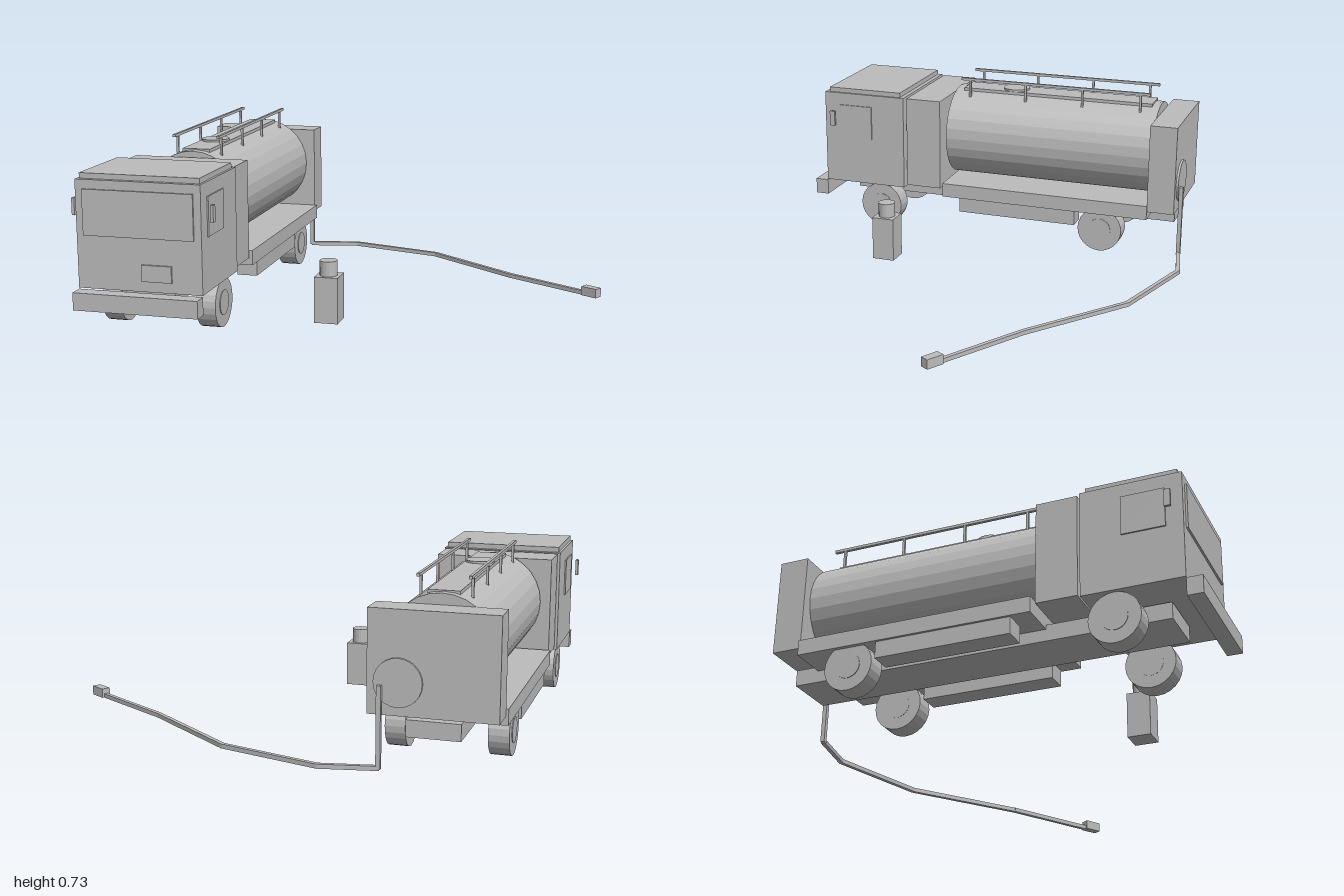
import * as THREE from 'three';

const grey = new THREE.MeshStandardMaterial({ color: 0xbcbcbc });
grey.name = 'plain grey';

export function createModel() {
  const model = new THREE.Group();
  model.name = 'tankerWithHose';
  const truck = new THREE.Group(); // built around its own centre line
  truck.name = 'truck';
  truck.position.x = -0.7;
  model.add(truck);

  const add = (parent, name, geometry) => {
    const mesh = new THREE.Mesh(geometry, grey);
    mesh.name = name;
    parent.add(mesh);
    return mesh;
  };
  // Box given by its limits on each axis
  const box = (parent, name, x0, x1, y0, y1, z0, z1) => {
    const mesh = add(parent, name, new THREE.BoxGeometry(x1 - x0, y1 - y0, z1 - z0));
    mesh.position.set((x0 + x1) / 2, (y0 + y1) / 2, (z0 + z1) / 2);
    return mesh;
  };
  // Faceted cylinder lying along the given axis
  const cylinder = (parent, name, r, length, axis, x, y, z, sides = 24) => {
    const g = new THREE.CylinderGeometry(r, r, length, sides).toNonIndexed();
    g.computeVertexNormals();
    if (axis === 'x') g.rotateZ(Math.PI / 2);
    if (axis === 'z') g.rotateX(Math.PI / 2);
    const mesh = add(parent, name, g);
    mesh.position.set(x, y, z);
    return mesh;
  };

  // Chassis and cab
  box(truck, 'chassis', -0.105, 0.105, 0.133, 0.2, -0.82, 0.755);
  box(truck, 'cab', -0.26, 0.26, 0.205, 0.642, 0.455, 0.855);
  box(truck, 'cabRoof', -0.25, 0.25, 0.642, 0.664, 0.475, 0.835);
  box(truck, 'frontBumper', -0.26, 0.26, 0.128, 0.2, 0.855, 0.917);
  box(truck, 'windshield', -0.23, 0.23, 0.42, 0.605, 0.855, 0.863);
  box(truck, 'frontPanel', 0.01, 0.135, 0.248, 0.315, 0.855, 0.864);

  // Bodywork behind the cab
  box(truck, 'equipmentLocker', -0.25, 0.25, 0.217, 0.64, 0.275, 0.442);
  box(truck, 'tankBed', -0.26, 0.26, 0.182, 0.246, -0.722, 0.26);
  cylinder(truck, 'tank', 0.21, 0.98, 'z', 0, 0.455, -0.23, 28);
  box(truck, 'rearCabinet', -0.25, 0.25, 0.217, 0.62, -0.843, -0.72);
  cylinder(truck, 'hoseReel', 0.094, 0.01, 'z', 0.13, 0.345, -0.848);

  // Walkway and hatch on top of the tank
  box(truck, 'walkway', -0.062, 0.062, 0.655, 0.669, -0.685, 0.22);
  cylinder(truck, 'hatch', 0.061, 0.022, 'y', 0, 0.667, -0.022);

  // Mirrored side parts
  for (const s of [-1, 1]) {
    const side = s > 0 ? 'left' : 'right';
    const part = (name, x, w, y0, y1, z0, z1) =>
      box(truck, side + name, s * x - w / 2, s * x + w / 2, y0, y1, z0, z1);
    part('Window', 0.262, 0.008, 0.425, 0.585, 0.617, 0.788);
    part('Mirror', 0.29, 0.012, 0.488, 0.558, 0.793, 0.818);
    part('SideLocker', 0.205, 0.09, 0.113, 0.182, -0.384, 0.177);
    part('HandRail', 0.099, 0.012, 0.715, 0.727, -0.685, 0.22);
    for (let i = 0; i < 4; i++) {
      const z = 0.177 - i * 0.272;
      part('RailPost' + (i + 1), 0.099, 0.01, 0.63, 0.716, z - 0.005, z + 0.005);
    }
    for (const [place, z] of [['Front', 0.58], ['Rear', -0.502]]) {
      cylinder(truck, side + place + 'Wheel', 0.102, 0.082, 'x', s * 0.203, 0.104, z);
      cylinder(truck, side + place + 'Hub', 0.052, 0.086, 'x', s * 0.204, 0.104, z);
    }
  }

  // Hose dropping from the reel and trailing over the ground
  const hose = new THREE.Group();
  hose.name = 'hose';
  model.add(hose);
  const path = [
    [-0.503, 0.33, -0.863], [-0.503, 0.017, -0.863], [-0.278, 0.017, -0.907],
    [0.15, 0.017, -0.783], [0.567, 0.017, -0.463], [0.93, 0.017, -0.243],
  ].map((p) => new THREE.Vector3(...p));
  for (let i = 1; i < path.length; i++) {
    const a = path[i - 1], b = path[i];
    const segment = add(hose, 'hoseSegment' + i,
      new THREE.BoxGeometry(0.018, 0.018, a.distanceTo(b) + 0.008));
    segment.position.copy(a).add(b).multiplyScalar(0.5);
    segment.lookAt(b);
  }
  const nozzle = add(hose, 'nozzle', new THREE.BoxGeometry(0.038, 0.04, 0.078));
  nozzle.position.set(0.956, 0.029, -0.227);
  nozzle.rotation.y = Math.atan2(0.363, 0.22);

  // Free-standing bottle beside the truck
  const bottle = new THREE.Group();
  bottle.name = 'standingContainer';
  model.add(bottle);
  box(bottle, 'containerBody', -0.116, -0.016, 0, 0.195, 0.337, 0.437);
  cylinder(bottle, 'containerCap', 0.037, 0.066, 'y', -0.067, 0.225, 0.387, 20);

  return model;
}
